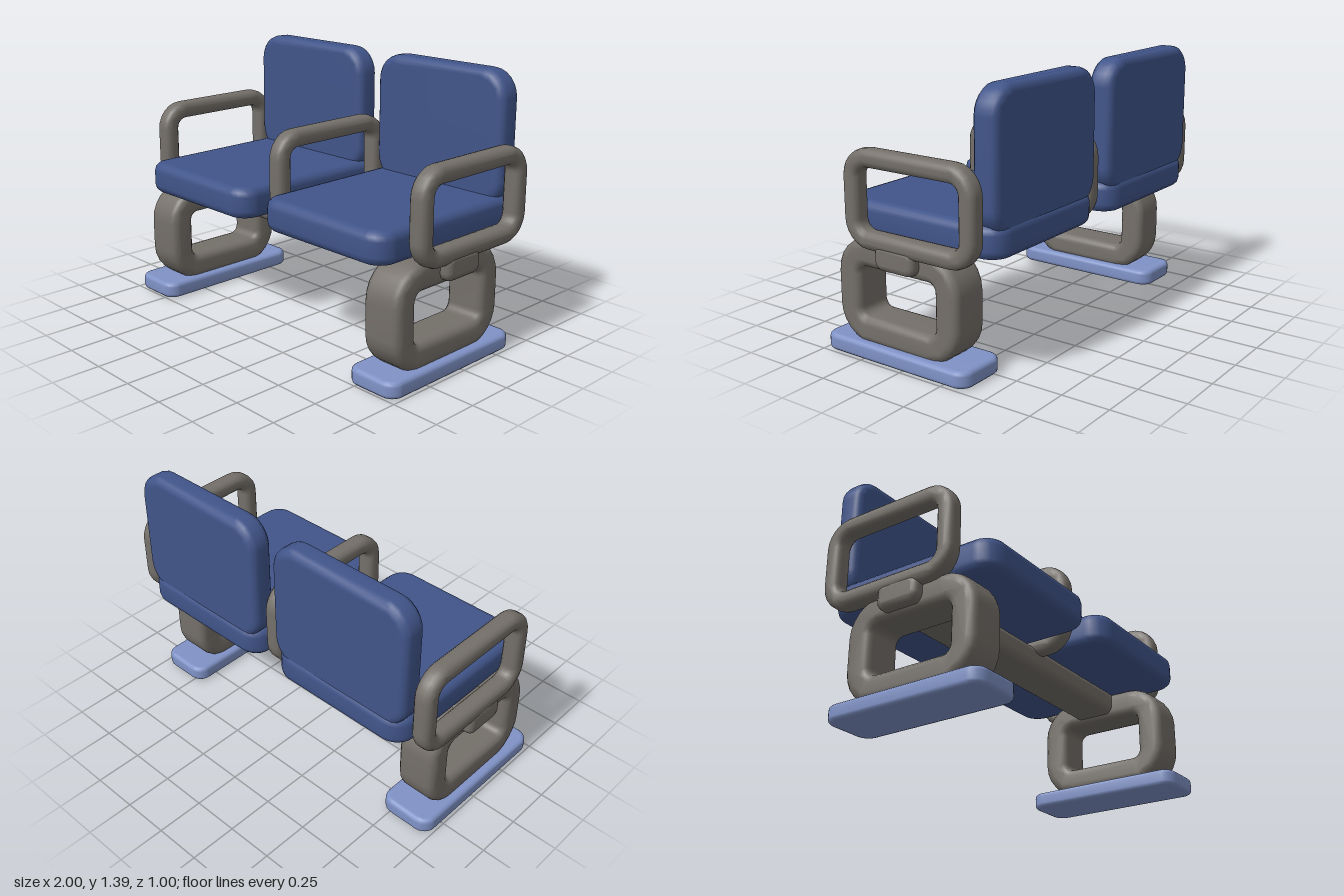
import * as THREE from 'three';
import { mergeVertices } from 'three/addons/utils/BufferGeometryUtils.js';

// Rounded rectangle outline; the corners get their facets from curveSegments
function trace(path, x0, x1, y0, y1, r) {
  path.moveTo(x0 + r, y0);
  path.lineTo(x1 - r, y0);
  path.absarc(x1 - r, y0 + r, r, -Math.PI / 2, 0, false);
  path.lineTo(x1, y1 - r);
  path.absarc(x1 - r, y1 - r, r, 0, Math.PI / 2, false);
  path.lineTo(x0 + r, y1);
  path.absarc(x0 + r, y1 - r, r, Math.PI / 2, Math.PI, false);
  path.lineTo(x0, y0 + r);
  path.absarc(x0 + r, y0 + r, r, Math.PI, Math.PI * 1.5, false);
  return path;
}

// Soft-edged slab centred on z = 0, outer = [x0, x1, y0, y1, radius], with an optional opening
function slab(outer, thickness, bevel, hole) {
  const [x0, x1, y0, y1, r] = outer;
  const b = bevel;
  const shape = trace(new THREE.Shape(), x0 + b, x1 - b, y0 + b, y1 - b, Math.max(r - b, 0.01));
  if (hole) {
    const [hx0, hx1, hy0, hy1, hr] = hole;
    shape.holes.push(trace(new THREE.Path(), hx0 - b, hx1 + b, hy0 - b, hy1 + b, hr + b));
  }
  const depth = thickness - 2 * b;
  let geo = new THREE.ExtrudeGeometry(shape, {
    depth, bevelEnabled: true, bevelSize: b, bevelThickness: b, bevelSegments: 3, curveSegments: 3,
  });
  geo.translate(0, 0, -depth / 2);
  // Weld so that the shading runs smoothly over the rounded edges
  geo.deleteAttribute('uv');
  geo.deleteAttribute('normal');
  geo.clearGroups();
  geo = mergeVertices(geo, 1e-4);
  geo.computeVertexNormals();
  return geo;
}

// Turn a slab so that its outline lies in the z-y plane, or in the x-z plane
const sideways = (geo) => geo.rotateY(-Math.PI / 2);
const flat = (geo) => geo.rotateX(Math.PI / 2);

export function createModel() {
  const upholstery = new THREE.MeshStandardMaterial({ color: 0x41558a });
  upholstery.name = 'blue upholstery';
  const frame = new THREE.MeshStandardMaterial({ color: 0x746f69 });
  frame.name = 'warm grey frame';
  const footBlue = new THREE.MeshStandardMaterial({ color: 0x7f92c6 });
  footBlue.name = 'light blue foot';

  const model = new THREE.Group();
  model.name = 'doubleSeatBench';
  function add(name, geo, mat, x = 0, y = 0, z = 0) {
    const mesh = new THREE.Mesh(geo, mat);
    mesh.name = name;
    mesh.position.set(x, y, z);
    model.add(mesh);
  }

  // Cross beam that carries everything
  add('crossBeam', sideways(slab([-0.095, 0.145, 0.48, 0.61, 0.045], 2, 0.03)), frame);

  // Cushions, legs and feet, mirrored left and right
  const seat = flat(slab([-0.415, 0.415, -0.5, 0.485, 0.11], 0.165, 0.045));
  const back = slab([-0.415, 0.415, 0.7, 1.39, 0.14], 0.135, 0.04);
  const leg = sideways(slab([-0.31, 0.435, 0.06, 0.598, 0.19], 0.22, 0.04, [-0.17, 0.295, 0.2, 0.455, 0.04]));
  const foot = flat(slab([-0.15, 0.15, -0.383, 0.5, 0.07], 0.085, 0.022));
  for (const [side, s] of [['left', 1], ['right', -1]]) {
    add(side + 'SeatCushion', seat, upholstery, s * 0.475, 0.6825, 0);
    add(side + 'BackCushion', back, upholstery, s * 0.475, 0, -0.4225);
    add(side + 'LegLoop', leg, frame, s * 0.84, 0, 0);
    add(side + 'Foot', foot, footBlue, s * 0.842, 0.0425, 0);
  }

  // Three looped armrests
  const arm = sideways(slab([-0.447, 0.332, 0.565, 1.053, 0.145], 0.1, 0.034, [-0.355, 0.24, 0.655, 0.962, 0.05]));
  for (const [name, x] of [['left', 0.95], ['middle', 0], ['right', -0.95]]) {
    add(name + 'Armrest', arm, frame, x);
  }
  return model;
}
